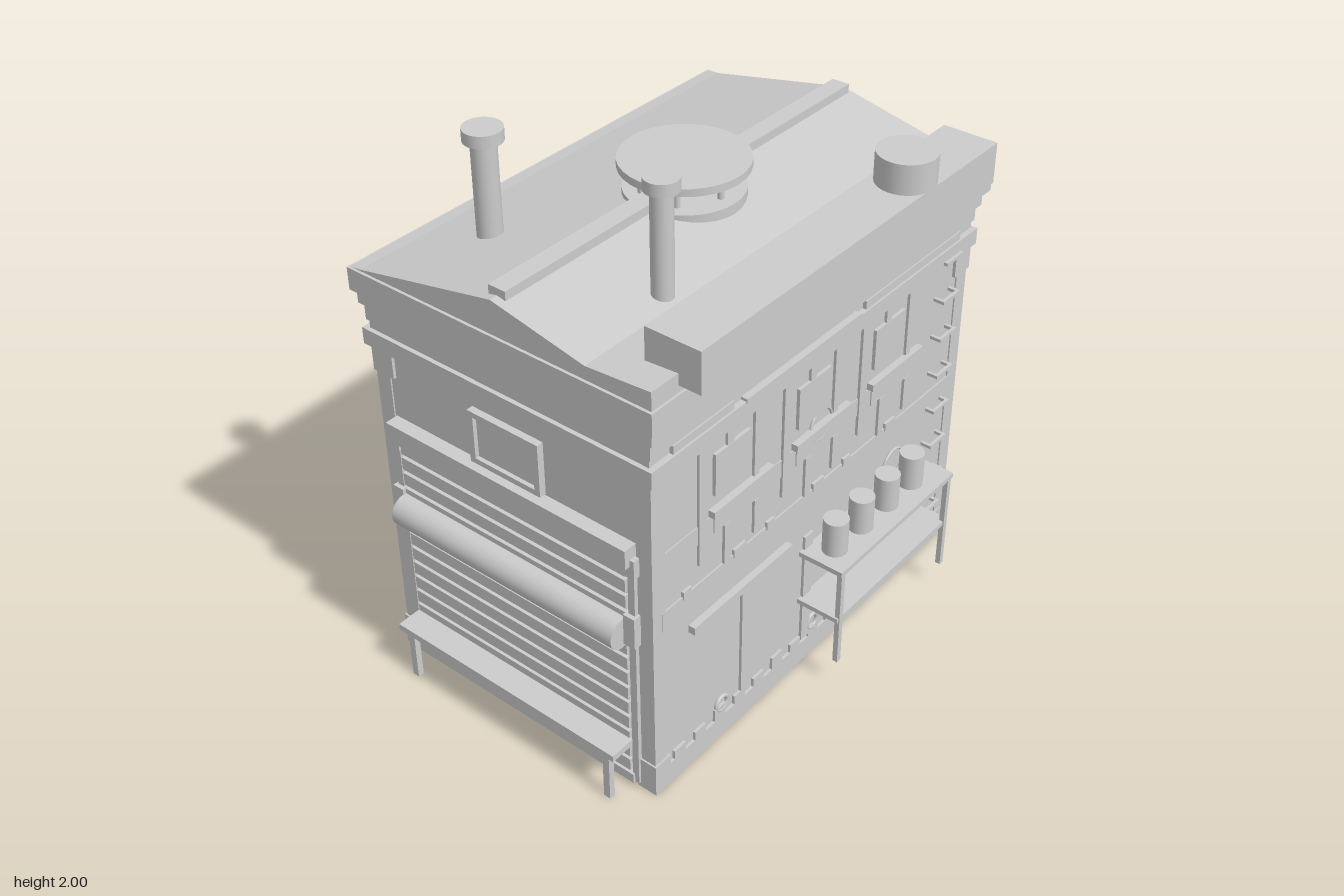
import * as THREE from 'three';

const CX = -0.066, CZ = -0.01; // centre of the building's plan

export function createModel() {
  const plaster = new THREE.MeshStandardMaterial({ color: 0xcccccc });
  plaster.name = 'plainGrey';
  const model = new THREE.Group();
  model.name = 'building';

  const add = (parent, name, geo, x = 0, y = 0, z = 0) => {
    const m = new THREE.Mesh(geo, plaster);
    m.name = name;
    m.position.set(x, y, z);
    parent.add(m);
    return m;
  };
  // box given by its limits on each axis
  const box = (name, x0, x1, y0, y1, z0, z1, parent = model) =>
    add(parent, name, new THREE.BoxGeometry(x1 - x0, y1 - y0, z1 - z0), (x0 + x1) / 2, (y0 + y1) / 2, (z0 + z1) / 2);
  // upright cylinder from y0 to y1
  const post = (name, r, x, z, y0, y1, parent = model) =>
    add(parent, name, new THREE.CylinderGeometry(r, r, y1 - y0, 32), x, (y0 + y1) / 2, z);

  // walls
  box('walls', -0.626, 0.494, 0, 1.48, -0.85, 0.83);

  // corner pilasters with base and capital blocks
  for (const sx of [-1, 1]) for (const sz of [-1, 1]) {
    const block = (name, w, out, y0, y1) => {
      const x = CX + sx * (0.56 + out - w / 2), z = CZ + sz * (0.84 + out - w / 2);
      box(name, x - w / 2, x + w / 2, y0, y1, z - w / 2, z + w / 2);
    };
    block('cornerPilaster', 0.06, 0.005, 0, 1.27);
    block('cornerBase', 0.075, 0.011, 0, 0.125);
    block('cornerCapital', 0.09, 0.011, 1.17, 1.27);
  }

  // stacked cornices: y0, y1, half width, front z, back z
  const cornices = [
    [1.27, 1.33, 0.587, 0.855, -0.865], [1.33, 1.36, 0.566, 0.84, -0.856],
    [1.36, 1.42, 0.575, 0.845, -0.86], [1.42, 1.47, 0.59, 0.855, -0.87],
    [1.47, 1.55, 0.605, 0.87, -0.895],
  ];
  for (const [y0, y1, h, zf, zb] of cornices) box('cornice', CX - h, CX + h, y0, y1, zb, zf);

  // gabled roof with an upturned right-hand edge
  const gable = new THREE.Shape([
    [-0.665, 1.54], [0.53, 1.54], [0.53, 1.615], [0.29, 1.597], [CX, 1.67], [-0.62, 1.555], [-0.665, 1.55],
  ].map(p => new THREE.Vector2(...p)));
  add(model, 'roof', new THREE.ExtrudeGeometry(gable, { depth: 1.745, bevelEnabled: false }), 0, 0, -0.885);
  box('ridgeStrip', -0.1, -0.033, 1.6, 1.695, -0.87, 0.83);
  box('roofDuct', 0.41, 0.61, 1.575, 1.72, -0.775, 0.745);
  post('roofBarrel', 0.1, 0.515, -0.385, 1.72, 1.825);

  // chimneys
  for (const [x, z, r, rc, top] of [[-0.41, 0.51, 0.042, 0.065, 1.965], [0.235, 0.455, 0.036, 0.056, 2]]) {
    post('chimneyShaft', r, x, z, 1.54, top - 0.03);
    post('chimneyCap', rc, x, z, top - 0.042, top);
  }

  // round roof vent on six legs
  post('ventBase', 0.2, -0.065, -0.015, 1.58, 1.665);
  post('ventLid', 0.215, -0.065, -0.015, 1.738, 1.765);
  for (let i = 0; i < 6; i++) {
    const a = i * Math.PI / 3;
    post('ventLeg', 0.011, -0.065 + 0.145 * Math.cos(a), -0.015 + 0.145 * Math.sin(a), 1.66, 1.74);
  }

  // roller door at the front
  box('doorHeader', -0.565, 0.435, 0.945, 1.015, 0.82, 0.88);
  box('doorBacking', -0.53, 0.4, 0.02, 0.945, 0.82, 0.837);
  for (let i = 0; i < 14; i++) {
    const y = 0.06 + i * 0.0635;
    box('doorSlat', -0.542, 0.407, y, y + 0.048, 0.82, 0.852);
  }
  box('doorSill', -0.56, 0.425, 0.018, 0.055, 0.82, 0.858);
  add(model, 'rolledAwning', new THREE.CylinderGeometry(0.057, 0.057, 0.945, 32).rotateZ(Math.PI / 2), -0.067, 0.668, 0.865);
  for (const s of [-1, 1]) {
    const x = CX + s * 0.495;
    box('doorJamb', x - 0.013, x + 0.013, 0.02, 0.96, 0.82, 0.85);
    box('awningBracket', x - 0.022, x + 0.022, 0.625, 0.745, 0.82, 0.865);
    box('headerBracket', x - 0.022, x + 0.022, 0.9, 0.97, 0.82, 0.86);
  }

  // framed sign window
  box('frontWindowPane', -0.19, 0.06, 1.035, 1.2, 0.82, 0.84);
  box('frontWindowFrame', -0.21, 0.08, 1.02, 1.04, 0.82, 0.855);
  box('frontWindowFrame', -0.21, 0.08, 1.195, 1.215, 0.82, 0.855);
  box('frontWindowFrame', -0.21, -0.188, 1.02, 1.215, 0.82, 0.855);
  box('frontWindowFrame', 0.058, 0.08, 1.02, 1.215, 0.82, 0.855);

  // front bench
  box('benchTop', -0.545, 0.418, 0.182, 0.207, 0.845, 0.945);
  for (const x of [-0.49, 0.385]) box('benchLeg', x - 0.013, x + 0.013, 0, 0.185, 0.92, 0.943);

  // back wall: bands, door, step and lamp
  box('backBand', -0.57, 0.44, 0.625, 0.745, -0.863, -0.84);
  box('backBand', -0.57, 0.44, 0.9, 0.97, -0.863, -0.84);
  box('backDoorFrame', -0.19, 0.06, 0.045, 0.57, -0.863, -0.84);
  box('backDoor', -0.165, 0.035, 0.045, 0.55, -0.872, -0.84);
  add(model, 'doorKnob', new THREE.SphereGeometry(0.013, 16, 12), 0.01, 0.3, -0.885);
  box('backStep', -0.21, 0.085, 0.02, 0.045, -0.94, -0.84);
  box('backLamp', -0.115, -0.015, 0.61, 0.64, -0.9, -0.84);

  // decorated long wall, built facing +x around its own centre
  const sideWall = (name) => {
    const g = new THREE.Group();
    g.name = name;
    const plate = (part, z0, z1, y0, y1, out = 0.01) => box(part, 0.55, 0.56 + out, y0, y1, z0, z1, g);
    const ring = (part, r, t, y, z) =>
      add(g, part, new THREE.TorusGeometry(r, t, 10, 28).rotateY(Math.PI / 2), 0.564, y, z);

    plate('lowerBand', -0.8, 0.8, 0.625, 0.745, 0.006);
    plate('upperBand', -0.6, 0.79, 0.9, 0.97, 0.004);
    plate('plinth', -0.84, 0.84, 0, 0.085);
    for (let i = 0; i < 15; i++) {
      const z = -0.73 + i * 0.104;
      plate('plinthTooth', z - 0.028, z + 0.028, 0.08, i % 3 ? 0.12 : 0.135);
    }
    // windows with sills and flanking strips
    for (const z of [0.425, 0.005, -0.415]) {
      plate('windowPanel', z - 0.04, z + 0.13, 1.045, 1.2, 0.012);
      plate('windowSill', z - 0.15, z + 0.15, 0.975, 1.0, 0.025);
      plate('windowApron', z - 0.13, z + 0.13, 0.9, 0.975, 0.008);
      plate('longStrip', z + 0.17, z + 0.205, 0.82, 1.27);
      plate('shortStrip', z + 0.04, z + 0.07, 1.2, 1.27);
      plate('shortStrip', z - 0.09, z - 0.065, 1.0, 1.27);
      plate('hangingStrip', z + 0.05, z + 0.08, 0.745, 0.9);
      plate('hangingStrip', z - 0.1, z - 0.07, 0.77, 0.9);
      plate('bandTab', z - 0.03, z + 0.03, 0.735, 0.765);
      plate('bandTab', z + 0.24, z + 0.28, 0.735, 0.765);
    }
    // lower posts and rail
    for (const z of [0.385, 0.045, -0.39]) plate('lowerPost', z - 0.023, z + 0.023, 0.1, 0.56);
    plate('wallRail', 0.16, 0.67, 0.573, 0.602, 0.025);
    plate('topTrim', 0.48, 0.76, 1.33, 1.36, 0.02);
    plate('topTrim', -0.16, 0.43, 1.325, 1.34, 0.03);
    plate('topTrim', -0.755, -0.2, 1.33, 1.36, 0.02);
    // round fittings
    for (const z of [0.505, 0, -0.515]) ring('drainRing', 0.028, 0.008, 0.14, z);
    ring('wallRing', 0.058, 0.005, 0.99, 0);
    ring('wallRing', 0.048, 0.005, 0.45, -0.345);
    ring('wallRing', 0.06, 0.005, 0.55, -0.46);
    // climbing rungs
    for (let i = 0; i < 8; i++) {
      const y = 0.215 + i * 0.153;
      box('rung', 0.59, 0.602, y - 0.006, y + 0.006, -0.75, -0.65, g);
      for (const z of [-0.744, -0.656]) box('rungStay', 0.55, 0.6, y - 0.006, y + 0.006, z - 0.006, z + 0.006, g);
    }
    g.position.set(CX, 0, CZ);
    model.add(g);
    return g;
  };
  sideWall('leftWallDetails');
  sideWall('rightWallDetails').rotation.y = Math.PI;

  // shelf with cans on the +x wall
  box('shelfBoard', 0.49, 0.667, 0.488, 0.507, -0.605, 0.077);
  box('shelfBoard', 0.49, 0.66, 0.28, 0.298, -0.605, 0.077);
  for (const z of [-0.588, 0.06]) box('shelfLeg', 0.645, 0.664, 0.1, 0.49, z - 0.01, z + 0.01);
  for (const z of [-0.01, -0.16, -0.313, -0.465]) post('can', 0.044, 0.577, z, 0.505, 0.64);

  return model;
}
